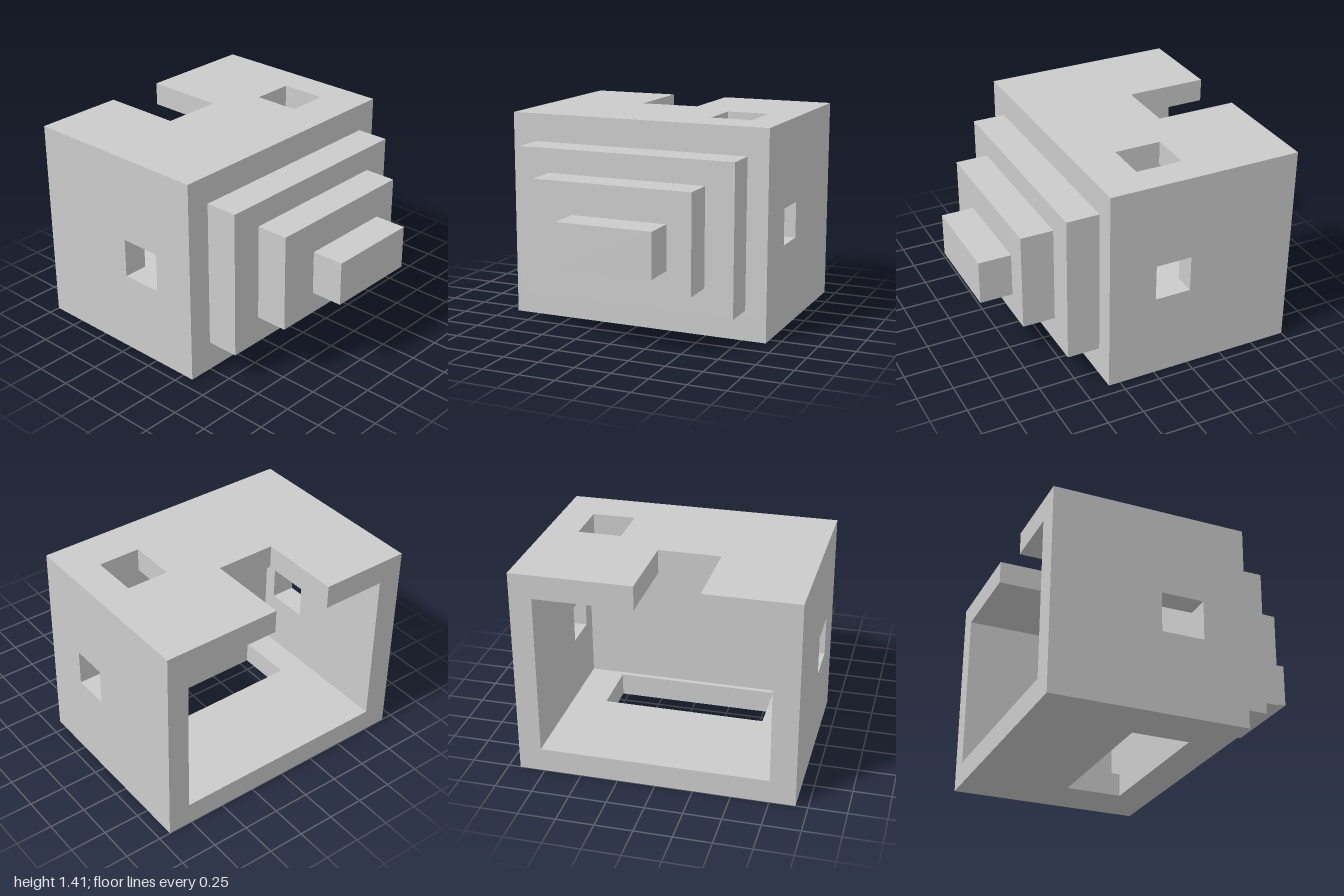
import * as THREE from 'three';

const grey = new THREE.MeshStandardMaterial({ color: 0xcccccc, flatShading: true });

// Outer shell and inner cavity limits
const X = 0.92, H = 1.41, BACK = -1, FRONT = 0.33;
const IN = { x0: -0.75, x1: 0.77, y0: 0.16, y1: 1.25, z1: 0.12 };

const rect = (a0, a1, b0, b1) =>
  [[a0, b0], [a1, b0], [a1, b1], [a0, b1]].map(([a, b]) => new THREE.Vector2(a, b));

function add(group, name, geometry) {
  const mesh = new THREE.Mesh(geometry, grey);
  mesh.name = name;
  group.add(mesh);
  return mesh;
}

// Solid block between two corners
function block(group, name, x0, x1, y0, y1, z0, z1) {
  add(group, name, new THREE.BoxGeometry(x1 - x0, y1 - y0, z1 - z0))
    .position.set((x0 + x1) / 2, (y0 + y1) / 2, (z0 + z1) / 2);
}

// Flat panel from an outline with an optional rectangular hole
function panel(outline, hole, depth) {
  const shape = new THREE.Shape(outline);
  if (hole) shape.holes.push(new THREE.Path(hole));
  return new THREE.ExtrudeGeometry(shape, { depth, bevelEnabled: false });
}

// Horizontal panel: outline in (x, z), hanging down from y1
function deck(group, name, outline, hole, y0, y1) {
  add(group, name, panel(outline, hole, y1 - y0).rotateX(Math.PI / 2).translate(0, y1, 0));
}

// Side panel: outline in (z, y), running from x1 towards -x
function side(group, name, hole, x0, x1) {
  const outline = rect(BACK, FRONT, IN.y0, IN.y1);
  add(group, name, panel(outline, hole, x1 - x0).rotateY(-Math.PI / 2).translate(x1, 0, 0));
}

export function createModel() {
  const model = new THREE.Group();
  model.name = 'hollowSteppedBox';

  // Roof with a notch in the back edge and a small opening
  const roof = [
    [-X, BACK], [-0.3, BACK], [-0.3, -0.44], [0.115, -0.44],
    [0.115, BACK], [X, BACK], [X, FRONT], [-X, FRONT],
  ].map(([x, z]) => new THREE.Vector2(x, z));
  deck(model, 'roof', roof, rect(0.41, 0.7, -0.28, 0.04), IN.y1, H);

  // Floor with a long slot
  deck(model, 'floor', rect(-X, X, BACK, FRONT), rect(-0.565, 0.54, -0.305, 0.087), 0, IN.y0);

  // Side walls, each with a window
  side(model, 'leftWall', rect(-0.25, 0, 0.58, 0.83), IN.x1, X);
  side(model, 'rightWall', rect(-0.26, 0.03, 0.55, 0.82), -X, IN.x0);

  // Front wall; the back stays open
  block(model, 'frontWall', IN.x0, IN.x1, IN.y0, IN.y1, IN.z1, FRONT);

  // Stepped tiers on the front
  const tiers = [
    [-0.75, 0.775, 0.205, 1.22],
    [-0.53, 0.577, 0.39, 1.055],
    [-0.25, 0.41, 0.54, 0.84],
  ];
  const z = [FRONT, 0.555, 0.777, 1];
  tiers.forEach((t, i) => block(model, `frontTier${i + 1}`, ...t, z[i], z[i + 1]));

  return model;
}
